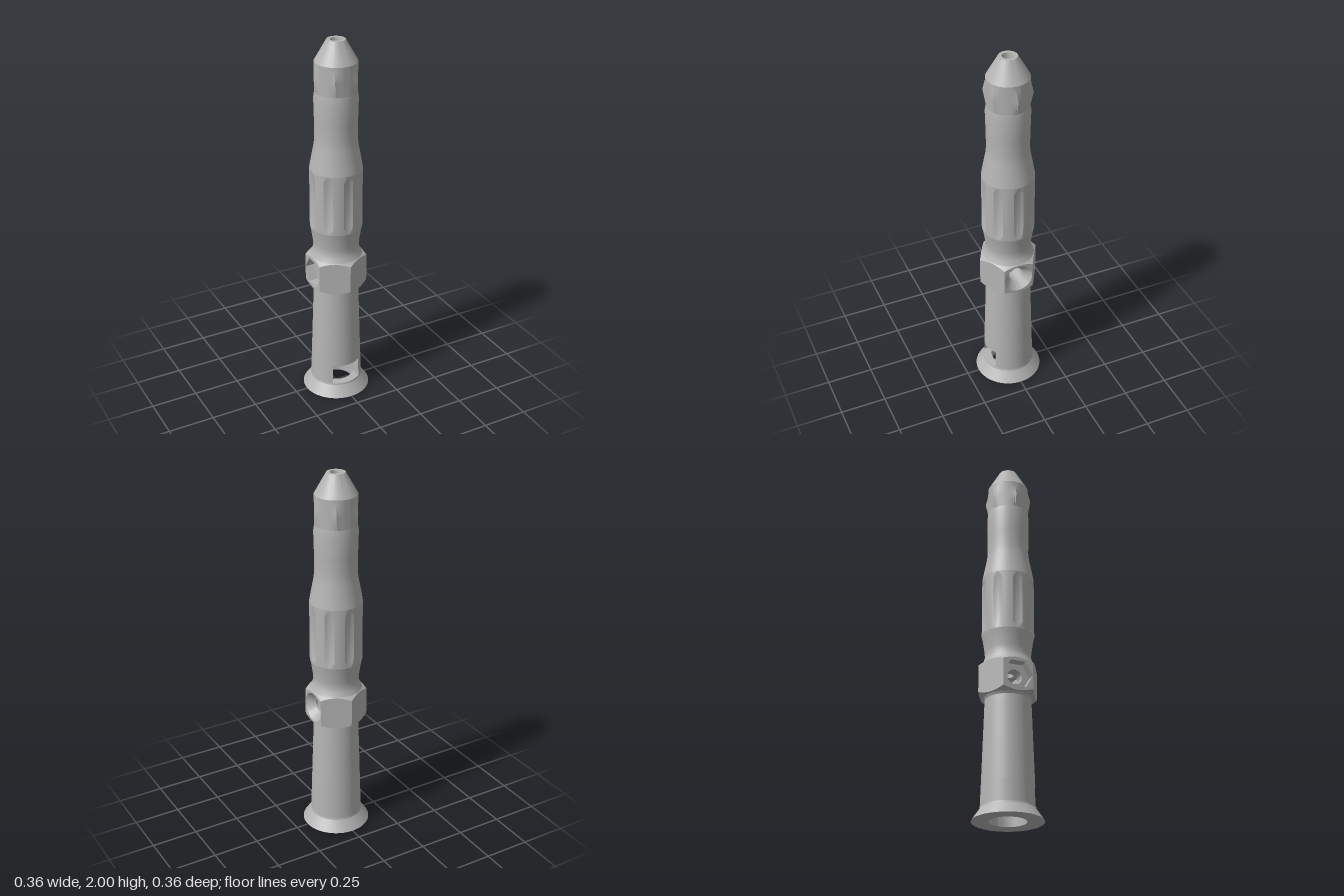
import * as THREE from 'three';
import { toCreasedNormals } from 'three/addons/utils/BufferGeometryUtils.js';

const TAU = Math.PI * 2, SIXTH = Math.PI / 3;
const BORE = 0.095, PIN = 0.028;            // wide lower bore, narrow upper bore
const SLOT = 0.08, SLOT_Y0 = 0.07, SLOT_Y1 = 0.18;
const NUT = 0.141, NUT_Y = 0.732, HOLE = 0.04;

export function createModel() {
  const model = new THREE.Group();
  const grey = new THREE.MeshStandardMaterial({ color: 0xb4b4b4, side: THREE.DoubleSide });
  grey.name = 'plain grey';

  const add = (name, geo, parent = model) => {
    const mesh = new THREE.Mesh(toCreasedNormals(geo, 0.4), grey);
    mesh.name = name;
    parent.add(mesh);
    return mesh;
  };
  const group = (name) => {
    const g = new THREE.Group();
    g.name = name;
    model.add(g);
    return g;
  };
  const lathe = (pts, start = 0, length = TAU, segs = 64) =>
    new THREE.LatheGeometry(pts.map(([r, y]) => new THREE.Vector2(r, y)), segs, start, length);

  // Skin between closed rows; each row maps an index to [angle, radius, height]
  const loft = (rows, n) => {
    const pos = [], idx = [];
    rows.forEach((row, j) => {
      for (let i = 0; i < n; i++) {
        const [t, r, y] = row(i);
        pos.push(r * Math.sin(t), y, r * Math.cos(t));
        if (j === rows.length - 1) continue;
        const a = j * n + i, b = j * n + (i + 1) % n;
        idx.push(a, b, a + n, b, b + n, a + n);
      }
    });
    const geo = new THREE.BufferGeometry();
    geo.setAttribute('position', new THREE.Float32BufferAttribute(pos, 3));
    geo.setIndex(idx);
    return geo;
  };
  const N = 72;
  const circle = (r, y) => (i) => [TAU * i / N, r, y];

  // Lower tube with flared foot, open at the front slot
  const slotAngle = Math.asin(SLOT / 0.137);
  const lower = group('lowerTube');
  add('foot', lathe([[BORE, 0], [0.182, 0], [0.141, 0.06], [0.139, SLOT_Y0]]), lower);
  add('slotBand', lathe([[0.139, SLOT_Y0], [0.135, SLOT_Y1]], slotAngle, TAU - 2 * slotAngle), lower);
  add('taperedTube', lathe([[0.135, SLOT_Y1], [0.121, 0.6], [0.119, 0.63], [0.125, 0.642], [0.14, 0.65]]), lower);

  // Bore, interrupted by the slot
  const bore = group('bore');
  const boreAngle = Math.asin(SLOT / BORE), backAngle = Math.acos(0.08 / BORE);
  add('boreMouth', lathe([[BORE, SLOT_Y0], [BORE, 0]]), bore);
  add('boreWall', lathe([[PIN, NUT_Y - HOLE], [PIN, 0.62], [BORE, 0.62], [BORE, SLOT_Y1]]), bore);
  const band = [[BORE, SLOT_Y1], [BORE, SLOT_Y0]];
  const sideSpan = Math.PI - 2 * boreAngle;
  add('boreSide', lathe(band, boreAngle, sideSpan, 16), bore);
  add('boreSide', lathe(band, Math.PI + boreAngle, sideSpan, 16), bore);
  add('boreBack', lathe(band, Math.PI - backAngle, 2 * backAngle, 16), bore);
  add('upperBore', lathe([[0.03, 2], [PIN, 1.99], [PIN, NUT_Y + HOLE]], 0, TAU, 32), bore);

  // Slot walls, floor and ceiling
  const slot = group('frontSlot');
  const high = SLOT_Y1 - SLOT_Y0, mid = (SLOT_Y0 + SLOT_Y1) / 2;
  const zIn = Math.sqrt(BORE ** 2 - SLOT ** 2);
  const wall = (width, x, z, turn) =>
    add('slotWall', new THREE.PlaneGeometry(width, high).rotateY(turn).translate(x, mid, z), slot);
  for (const s of [1, -1]) {
    wall(0.111 - zIn, s * SLOT, (0.111 + zIn) / 2, -s * Math.PI / 2);
    wall(0.08 - zIn, s * SLOT, -(0.08 + zIn) / 2, -s * Math.PI / 2);
    wall(SLOT - zIn, s * (SLOT + zIn) / 2, -0.08, 0);
  }
  for (const [y, r] of [[SLOT_Y0, 0.139], [SLOT_Y1, 0.135]]) {
    const a = Math.asin(SLOT / r), sill = new THREE.Shape();
    sill.absarc(0, 0, r, Math.PI / 2 - a, Math.PI / 2 + a, false);
    sill.absarc(0, 0, BORE, Math.PI / 2 + boreAngle, Math.PI / 2 - boreAngle, true);
    add('slotSill', new THREE.ShapeGeometry(sill, 16).rotateX(Math.PI / 2).translate(0, y, 0), slot);
    for (const s of [1, -1]) {
      const corner = new THREE.Shape([[SLOT, -zIn], [SLOT, -0.08], [zIn, -0.08]]
        .map(([x, z]) => new THREE.Vector2(s * x, z)));
      add('slotCorner', new THREE.ShapeGeometry(corner).rotateX(Math.PI / 2).translate(0, y, 0), slot);
    }
  }

  // Hexagonal collar: six arched faces, chamfers above and below
  const collar = group('hexCollar');
  const drop = (r) => 0.75 * (r - NUT);
  const hexR = (t) => NUT / Math.cos((t % SIXTH) - SIXTH / 2);
  const hexRow = (y, sign) => (i) => {
    const t = TAU * i / N, r = hexR(t);
    return [t, r, y - sign * drop(r)];
  };
  add('collarTop', loft([hexRow(0.822, 1), circle(0.138, 0.824)], N), collar);
  add('collarBottom', loft([circle(0.138, 0.649), hexRow(0.642, -1)], N), collar);
  const hexPoints = (r) => Array.from({ length: 6 }, (_, k) =>
    new THREE.Vector2(r * Math.cos(k * SIXTH), r * Math.sin(k * SIXTH)));
  const roundHole = (r) => new THREE.Path().absarc(0, 0, r, 0, TAU, true);
  for (let k = 0; k < 6; k++) {
    const top = [], bottom = [];
    for (let i = 0; i <= 12; i++) {
      const u = NUT * Math.tan((i / 12 - 0.5) * SIXTH), d = drop(Math.hypot(NUT, u));
      bottom.push(new THREE.Vector2(u, 0.642 + d - NUT_Y));
      top.unshift(new THREE.Vector2(u, 0.822 - d - NUT_Y));
    }
    const face = new THREE.Shape([...bottom, ...top]);
    if (k === 1) face.holes.push(roundHole(0.079));
    if (k === 4) face.holes.push(new THREE.Path(hexPoints(0.081)));
    add('collarFace', new THREE.ShapeGeometry(face, 24)
      .translate(0, 0, NUT).rotateY(SIXTH * (k + 0.5)).translate(0, NUT_Y, 0), collar);
  }

  // Cross hole: round countersink on the left, hexagonal pocket on the right
  const place = (geo, side) => geo.rotateY(side * Math.PI / 2).translate(0, NUT_Y, 0);
  add('countersink', place(lathe([[0.079, NUT], [HOLE, 0.1], [HOLE, 0.028]], 0, TAU, 48)
    .rotateX(Math.PI / 2), 1), collar);
  add('nutPocket', place(new THREE.CylinderGeometry(0.081, 0.081, 0.05, 6, 1, true, Math.PI / 2)
    .rotateX(Math.PI / 2).translate(0, 0, NUT - 0.025), -1), collar);
  const pocketFloor = new THREE.Shape(hexPoints(0.081));
  pocketFloor.holes.push(roundHole(HOLE));
  add('pocketFloor', place(new THREE.ShapeGeometry(pocketFloor, 24).translate(0, 0, NUT - 0.05), -1), collar);
  add('crossHole', place(lathe([[HOLE, NUT - 0.05], [HOLE, 0.028]], 0, TAU, 48).rotateX(Math.PI / 2), -1), collar);

  // Grip: smooth waist, then eight shallow flutes
  add('waist', lathe([[0.138, 0.824], [0.127, 0.845], [0.12, 0.87], [0.122, 0.9], [0.131, 0.96], [0.137, 0.99]]));
  const fluteRow = (y, half, depth) => (i) => {
    const sector = Math.floor(i / 12) * TAU / 8, j = i % 12;
    if (j <= 8) {
      const s = j / 4 - 1;
      return [sector + s * half, 0.138 - depth * (1 - s * s), y];
    }
    return [sector + half + (TAU / 8 - 2 * half) * (j - 8) / 4, 0.138, y];
  };
  add('flutedGrip', loft([
    fluteRow(0.99, 0.06, 0), fluteRow(1.0, 0.08, 0.001), fluteRow(1.025, 0.19, 0.009),
    fluteRow(1.285, 0.19, 0.009), fluteRow(1.31, 0.08, 0.001), fluteRow(1.32, 0.06, 0),
  ], 96));

  // Neck, six-pointed knob and nose cone
  add('neck', lathe([[0.138, 1.32], [0.131, 1.36], [0.114, 1.45], [0.11, 1.49], [0.111, 1.58], [0.114, 1.7], [0.109, 1.735]]));
  const knobRow = (i) => {
    const t = TAU * i / N, a = ((t + SIXTH / 2) % SIXTH) - SIXTH / 2;
    return [t, 0.125 * Math.cos(SIXTH / 2) / Math.cos(a), 1.81];
  };
  add('knob', loft([circle(0.109, 1.735), knobRow, circle(0.11, 1.87), circle(0.11, 1.89)], N));
  add('noseCone', lathe([[0.11, 1.89], [0.048, 2], [0.03, 2]]));

  return model;
}
